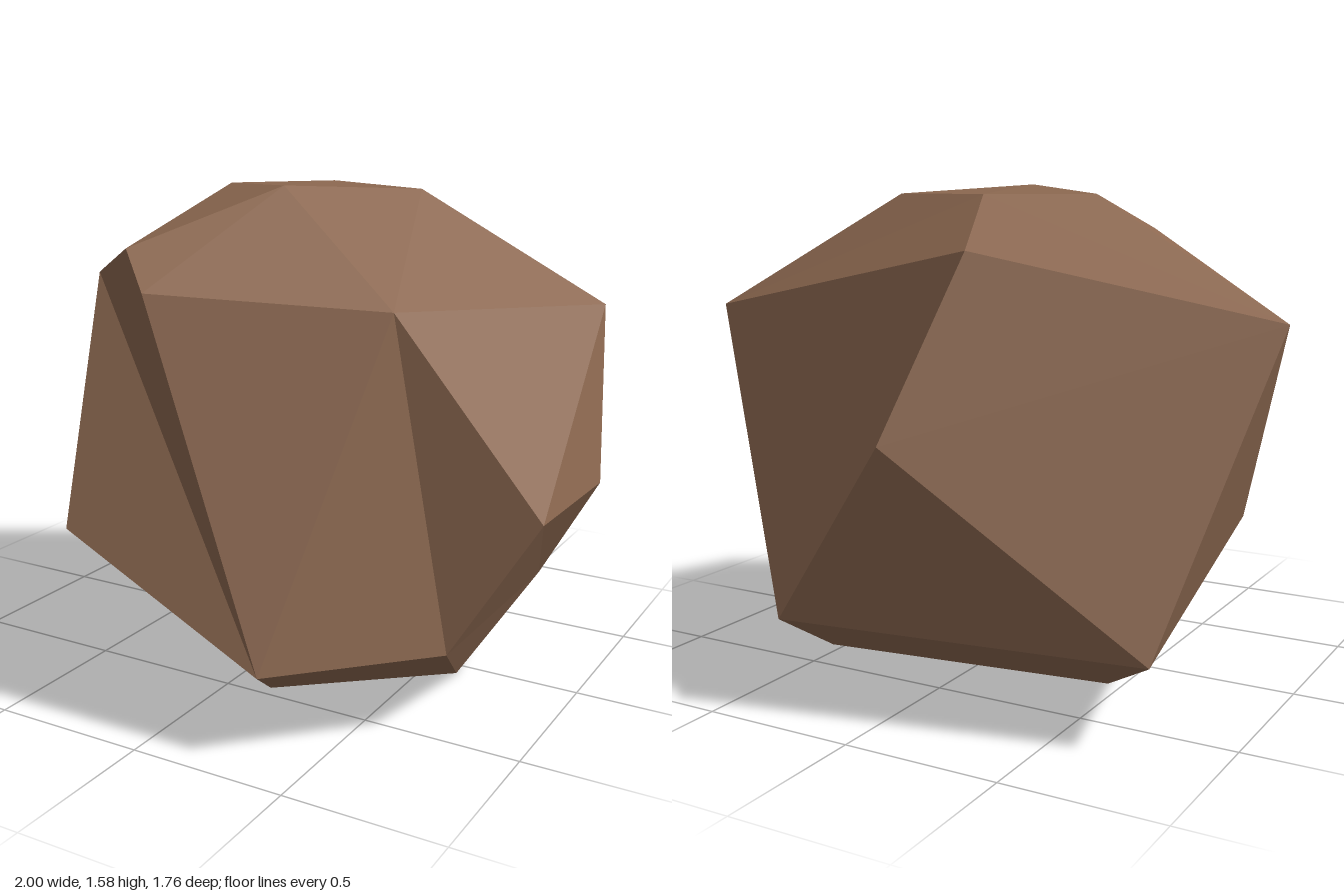
import * as THREE from 'three';

// Corners of the boulder
const corners = {
  A: [-1, 1.18, -0.17], B: [-0.33, 1.55, -0.07], C: [0.07, 1.58, 0.25], D: [0.34, 1.55, -0.17],
  E: [0.89, 1.18, -0.43], F: [0.99, 0.67, 0.36], G: [0.75, 0.26, 0.47], H: [0.61, 0, 0.06],
  I: [0.28, 0.135, 0.69], J: [0.35, 0.26, 0.88], K: [0.75, 0.26, -0.3], L: [-0.79, 0.26, -0.66],
  M: [-0.64, 0.42, 0.51], N: [-0.08, 1.31, 0.79], O: [-0.2, 1.42, 0.7], P: [0.53, 1.25, 0.41],
  Q: [-0.07, 1.55, -0.33], R: [-0.16, 1.39, -0.59], S: [-0.04, 0.85, -0.88], T: [0.38, 0.26, -0.82],
  U: [0.31, 0.135, -0.64], V: [-0.6, 0.135, -0.52], W: [1, 0.67, -0.12],
};

// Cut faces, each a loop of corners seen counter-clockwise from outside
const faces = [
  'CDQBO', 'ABQR', 'QDER',                  // crown
  'ARSL', 'RETS', 'STL',                    // back
  'DCPE', 'EPFW', 'TEWK', 'KWFGH',          // left side
  'CONP', 'PNJ', 'PJGF', 'BAO', 'OAN', 'NAJ', 'JAMI', // front
  'MALV', 'IMV',                            // right side
  'IVUH', 'VLTU', 'UTKH', 'HGJI',           // underside
];

function facetedGeometry() {
  const positions = [];
  for (const loop of faces) {
    for (let i = 1; i < loop.length - 1; i++) {
      for (const name of [loop[0], loop[i], loop[i + 1]]) positions.push(...corners[name]);
    }
  }
  const geometry = new THREE.BufferGeometry();
  geometry.setAttribute('position', new THREE.Float32BufferAttribute(positions, 3));
  geometry.computeVertexNormals();
  return geometry;
}

export function createModel() {
  const brownStone = new THREE.MeshStandardMaterial({ color: 0x8c6850 });
  brownStone.name = 'brownStone';
  brownStone.flatShading = true;

  const boulder = new THREE.Mesh(facetedGeometry(), brownStone);
  boulder.name = 'boulder';

  const model = new THREE.Group();
  model.name = 'rock';
  model.add(boulder);
  return model;
}
